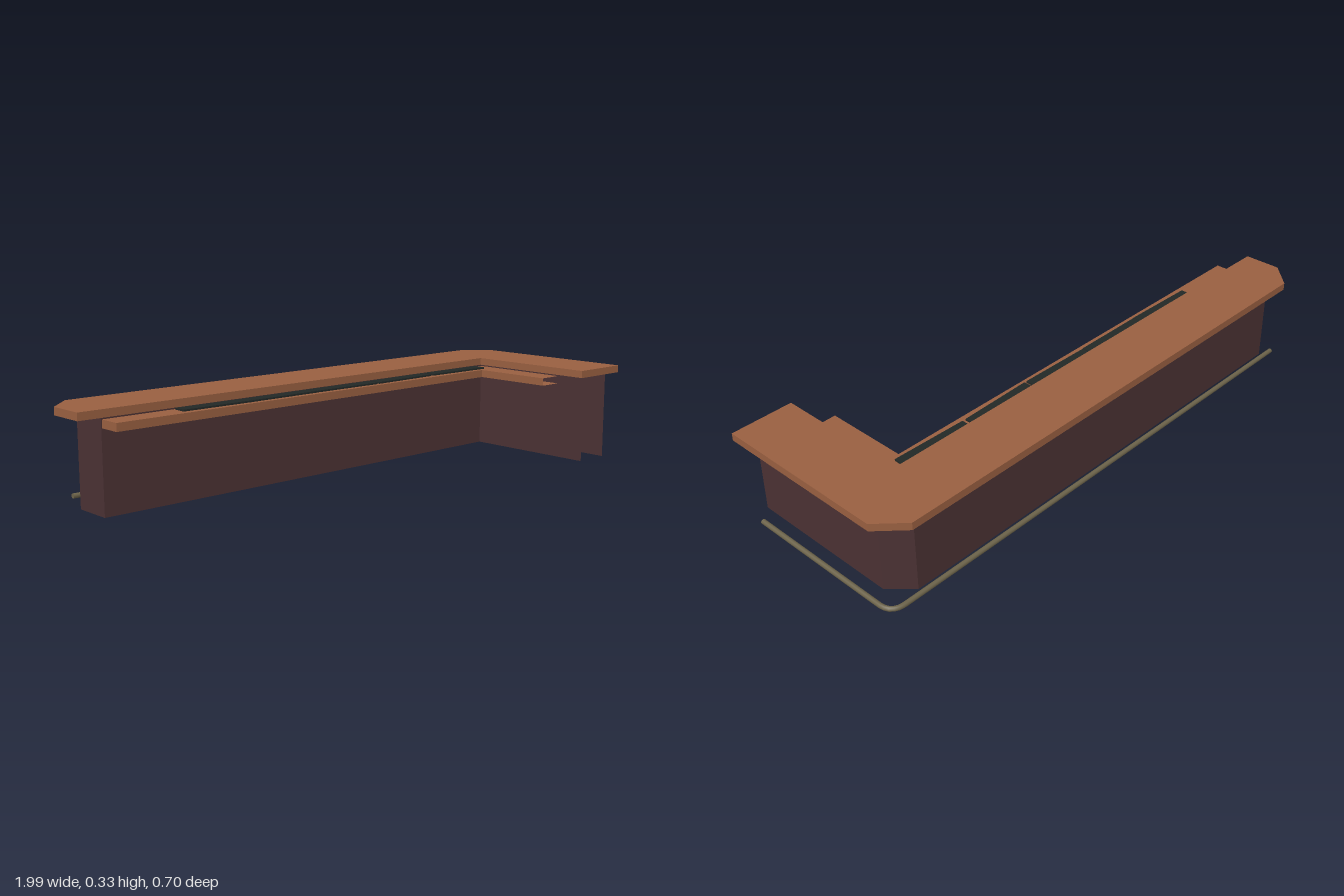
import * as THREE from 'three';
import { mergeGeometries } from 'three/addons/utils/BufferGeometryUtils.js';

const material = (name, color, side = THREE.FrontSide) => {
  const m = new THREE.MeshStandardMaterial({ color, side });
  m.name = name;
  return m;
};

// Plan outline given as [x, z] points
const planShape = (points) =>
  new THREE.Shape(points.map(([x, z]) => new THREE.Vector2(x, -z)));

const slab = (points, y, height) =>
  new THREE.ExtrudeGeometry(planShape(points), { depth: height, bevelEnabled: false })
    .rotateX(-Math.PI / 2).translate(0, y, 0);

const sheet = (points, y) =>
  new THREE.ShapeGeometry(planShape(points)).rotateX(-Math.PI / 2).translate(0, y, 0);

// Upright panels following a line of [x, z] points
const panels = (points, y0, y1) => mergeGeometries(points.slice(1).map(([x1, z1], i) => {
  const [x0, z0] = points[i];
  return new THREE.PlaneGeometry(Math.hypot(x1 - x0, z1 - z0), y1 - y0)
    .rotateY(-Math.atan2(z1 - z0, x1 - x0))
    .translate((x0 + x1) / 2, (y0 + y1) / 2, (z0 + z1) / 2);
}));

export function createModel() {
  const group = new THREE.Group();
  group.name = 'cornerBar';
  const wood = material('wood', 0x985f40, THREE.DoubleSide);
  const darkWood = material('dark wood', 0x4a3133, THREE.DoubleSide);
  const rubber = material('black rubber', 0x222826);
  const brass = material('dull brass', 0x6b6249);

  const add = (name, geometry, mat) => {
    const mesh = new THREE.Mesh(geometry, mat);
    mesh.name = name;
    group.add(mesh);
    return mesh;
  };

  // Thin walls of the base, open underneath and at the end of the short leg
  add('baseWalls', panels([
    [0.785, 0.352], [0.785, -0.14], [-0.915, -0.14], [-0.915, -0.28],
    [0.845, -0.28], [0.915, -0.205], [0.915, 0.352],
  ], 0, 0.308), darkWood);

  // Raised L-shaped top with clipped back corners
  add('barTop', slab([
    [-0.998, -0.133], [0.775, -0.133], [0.775, 0.352], [0.996, 0.352],
    [0.996, -0.267], [0.91, -0.353], [-0.912, -0.353], [-0.998, -0.267],
  ], 0.308, 0.026), wood);

  // Lower work counter: top, underside and fascia, open at the short end
  const counter = [
    [-0.912, -0.14], [-0.912, -0.06], [0.7, -0.06],
    [0.7, 0.235], [0.785, 0.235], [0.785, -0.14],
  ];
  add('workCounter', mergeGeometries([sheet(counter, 0.302), sheet(counter, 0.275)]), wood);
  add('workCounterFascia', panels(counter.slice(0, 4), 0.275, 0.302), wood);

  // Row of slightly crooked mats: [centre x, centre z, turn]
  [
    [-0.521, -0.104, -0.02], [-0.247, -0.103, 0.003], [0.028, -0.103, -0.015],
    [0.308, -0.104, 0.025], [0.594, -0.104, -0.025],
  ].forEach(([x, z, turn], i) => {
    const mat = add(`barMat${i + 1}`, new THREE.BoxGeometry(0.272, 0.006, 0.048), rubber);
    mat.position.set(x, 0.3052, z);
    mat.rotation.y = turn;
  });

  // Foot rail around the back and the outer side
  const p = (x, z) => new THREE.Vector3(x, 0.034, z);
  const radius = 0.0085;
  const path = new THREE.CurvePath();
  path.add(new THREE.LineCurve3(p(-0.915, -0.326), p(0.935, -0.326)));
  path.add(new THREE.QuadraticBezierCurve3(p(0.935, -0.326), p(0.988, -0.326), p(0.988, -0.273)));
  path.add(new THREE.LineCurve3(p(0.988, -0.273), p(0.988, 0.27)));
  add('footRail', new THREE.TubeGeometry(path, 180, radius, 12), brass);
  add('footRailEnds', mergeGeometries([
    new THREE.CircleGeometry(radius, 12).rotateY(-Math.PI / 2).translate(-0.915, 0.034, -0.326),
    new THREE.CircleGeometry(radius, 12).translate(0.988, 0.034, 0.27),
  ]), brass);

  return group;
}
